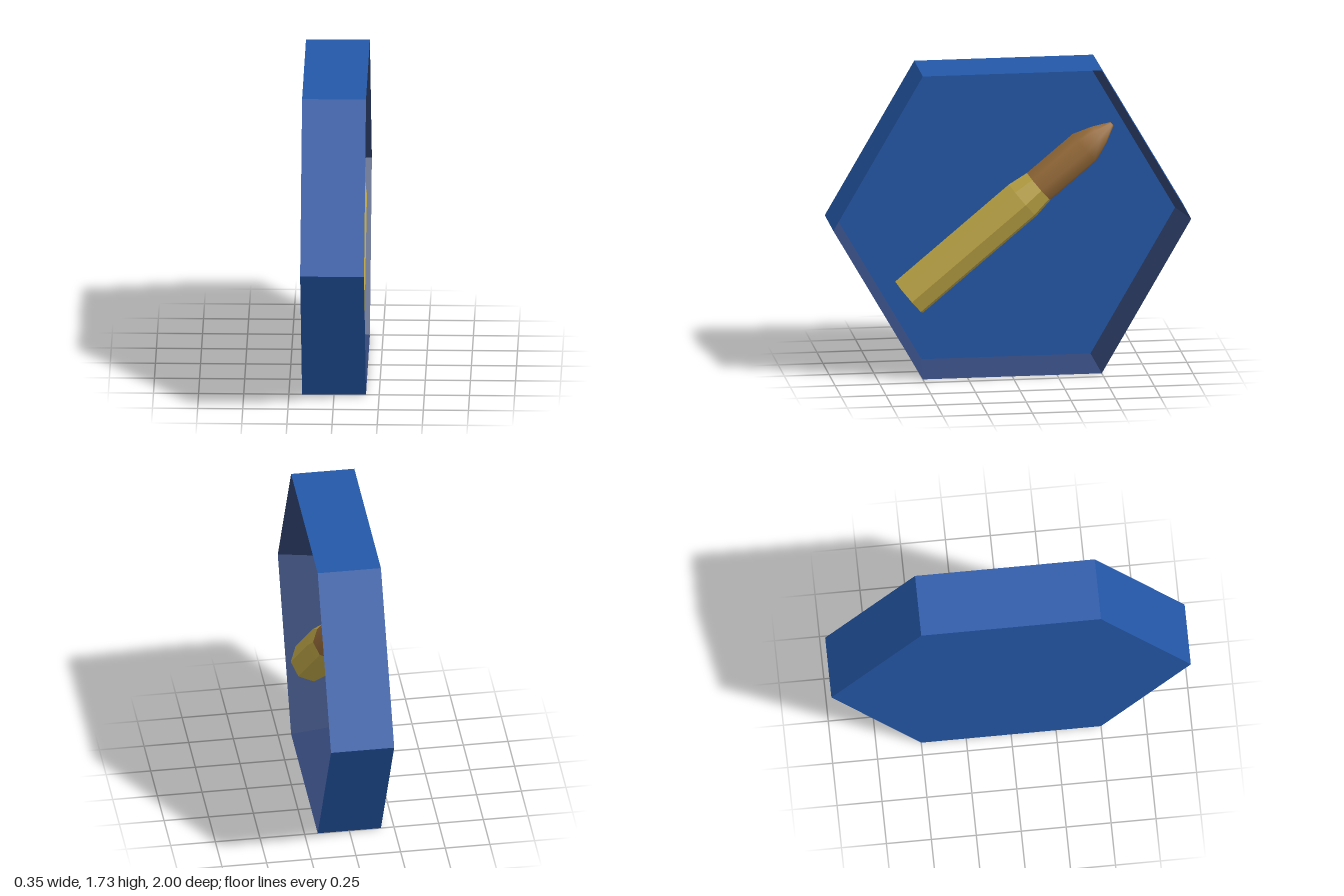
import * as THREE from 'three';

const blue = new THREE.MeshStandardMaterial({ color: 0x2458a8 });
const slate = new THREE.MeshStandardMaterial({ color: 0x324675, side: THREE.DoubleSide });
const brass = new THREE.MeshStandardMaterial({ color: 0xbea646 });
const copper = new THREE.MeshStandardMaterial({ color: 0x986c3a });
blue.name = 'blue';
slate.name = 'slate blue';
brass.name = 'brass';
copper.name = 'copper';

const MID_Y = 0.866; // height of the hexagon's centre
const BACK = -0.177, RIM = 0.177, FLOOR = -0.085;
const FLOOR_R = 0.945;

function faceted(geometry) {
  const g = geometry.toNonIndexed();
  g.computeVertexNormals();
  return g;
}

function add(parent, name, geometry, material) {
  const mesh = new THREE.Mesh(geometry, material);
  mesh.name = name;
  parent.add(mesh);
  return mesh;
}

// Open hexagonal band along x, from x0 (radius r0) to x1 (radius r1)
function hexBand(r0, r1, x0, x1) {
  const g = new THREE.CylinderGeometry(r1, r0, x1 - x0, 6, 1, true);
  g.rotateZ(-Math.PI / 2).translate((x0 + x1) / 2, 0, 0);
  return faceted(g);
}

// Hexagonal plate facing +x (side 1) or -x (side -1)
function hexPlate(r, x, side) {
  return new THREE.CircleGeometry(r, 6).rotateY(side * Math.PI / 2).translate(x, 0, 0);
}

function lathe(profile) {
  return new THREE.LatheGeometry(profile.map(([r, y]) => new THREE.Vector2(r, y)), 8);
}

export function createModel() {
  const model = new THREE.Group();
  model.name = 'hexagonalPickup';

  // Shallow tray, open towards +x, walls thinning to a sharp rim
  const tray = new THREE.Group();
  tray.name = 'tray';
  tray.position.y = MID_Y;
  add(tray, 'outerWall', hexBand(1, 1, BACK, RIM), blue);
  add(tray, 'backPlate', hexPlate(1, BACK, -1), blue);
  add(tray, 'floor', hexPlate(FLOOR_R, FLOOR, 1), blue);
  add(tray, 'innerWall', hexBand(FLOOR_R, 1, FLOOR, RIM), slate);
  model.add(tray);

  // Cartridge lying diagonally across the tray, base low at the front
  const cartridge = new THREE.Group();
  cartridge.name = 'cartridge';
  cartridge.position.set(0.05, 0.44, 0.56);
  cartridge.rotation.x = -THREE.MathUtils.degToRad(50);
  add(cartridge, 'case', faceted(lathe([[0, 0], [0.12, 0], [0.12, 0.83], [0.103, 0.947]])), brass);
  add(cartridge, 'bullet', lathe([[0.103, 0.947], [0.103, 1.28], [0.062, 1.39], [0.014, 1.48], [0, 1.482]]), copper);
  model.add(cartridge);

  return model;
}
